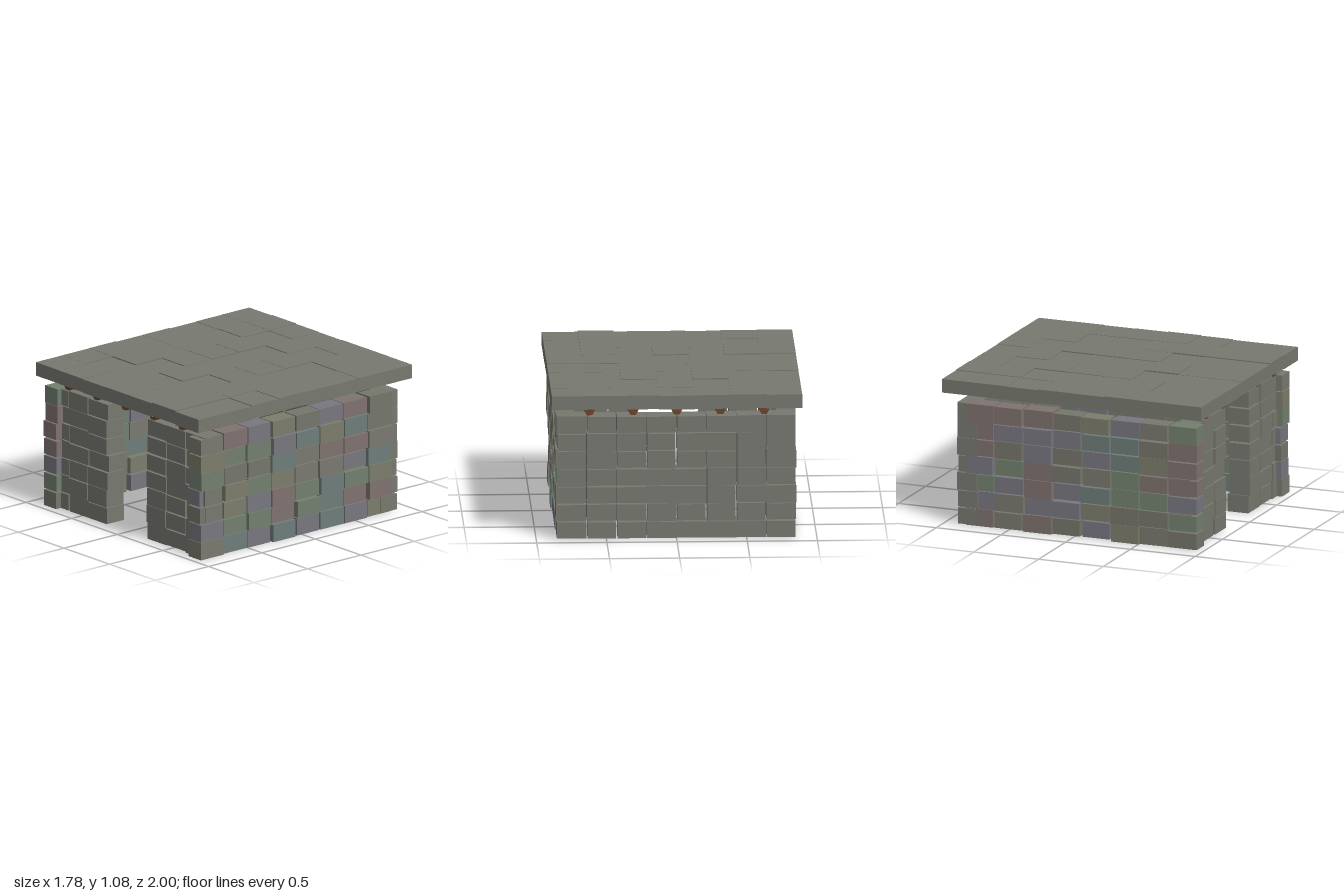
import * as THREE from 'three';

// Small seeded generator, returns 0..1
function seeded(seed) {
  let s = seed;
  return () => {
    s = (s * 16807) % 2147483647;
    return s / 2147483647;
  };
}

const stone = new THREE.MeshStandardMaterial({ color: 0x77786f });
const wood = new THREE.MeshStandardMaterial({ color: 0x6e452b });
const tints = [0x72806f, 0x7c7d6b, 0x7f7370, 0x78777f, 0x6f7d79, 0x75766c, 0x7a7970]
  .map((color) => new THREE.MeshStandardMaterial({ color }));

function block(parent, name, size, pos, material) {
  const mesh = new THREE.Mesh(new THREE.BoxGeometry(...size), material);
  mesh.name = name;
  mesh.position.set(...pos);
  parent.add(mesh);
  return mesh;
}

function group(parent, name) {
  const g = new THREE.Group();
  g.name = name;
  parent.add(g);
  return g;
}

export function createModel() {
  const model = new THREE.Group();
  model.name = 'stoneHut';
  const rand = seeded(4711);
  const jitter = (a) => (rand() * 2 - 1) * a;

  const ROWS = 7, COLS = 8;
  const rowH = 0.9 / ROWS;
  const colW = 1.706 / COLS;
  const sideW = 0.225;

  // Stones of a wall differ slightly in size, so only some joints open up
  const joint = () => (rand() < 0.45 ? 0.001 : 0.012);

  // Front wall (two piers beside the doorway) and closed back wall
  const frontWall = group(model, 'frontWall');
  const backWall = group(model, 'backWall');
  for (let r = 0; r < ROWS; r++) {
    const y = (r + 0.5) * rowH;
    for (let c = 0; c < COLS; c++) {
      const x = -0.853 + (c + 0.5) * colW;
      const doorway = c === 3 || c === 4;
      if (!doorway) {
        block(frontWall, 'frontStone', [colW - joint(), rowH - joint(), 0.16],
          [x, y, 0.825 + jitter(0.008)], stone);
      }
      block(backWall, 'backStone', [colW - joint(), rowH - joint(), 0.15],
        [x, y, -0.822 + jitter(0.006)], stone);
    }
  }

  // Tinted side walls with uneven stones
  for (const side of [-1, 1]) {
    const wall = group(model, side > 0 ? 'leftWall' : 'rightWall');
    for (let r = 0; r < ROWS; r++) {
      const y = (r + 0.5) * rowH;
      for (let c = 0; c < COLS; c++) {
        const z = 0.955 - (c + 0.5) * sideW + jitter(0.005);
        const tint = tints[Math.floor(rand() * tints.length)];
        block(wall, 'sideStone', [0.135, rowH - joint(), sideW - 0.004 - joint()],
          [side * (0.783 + jitter(0.013)), y, z], tint);
      }
    }
  }

  // Hexagonal roof beams running front to back
  const beams = group(model, 'roofBeams');
  const beamGeo = new THREE.CylinderGeometry(0.038, 0.038, 1.87, 6);
  beamGeo.rotateY(Math.PI / 6 + Math.PI / 3);
  beamGeo.rotateX(Math.PI / 2);
  const beamMat = wood.clone();
  beamMat.flatShading = true;
  for (let i = -2; i <= 2; i++) {
    const beam = new THREE.Mesh(beamGeo, beamMat);
    beam.name = 'roofBeam';
    beam.position.set(i * 0.311, 0.95, 0);
    beams.add(beam);
  }

  // Roof of flat slabs laid at slightly different heights
  const roof = group(model, 'roof');
  const slabW = 1.784 / 7, slabD = 2 / 8;
  for (let i = 0; i < 7; i++) {
    for (let j = 0; j < 8; j++) {
      block(roof, 'roofSlab', [slabW, 0.1, slabD],
        [-0.892 + (i + 0.5) * slabW, 1.022 + jitter(0.005), -1 + (j + 0.5) * slabD], stone);
    }
  }

  return model;
}
